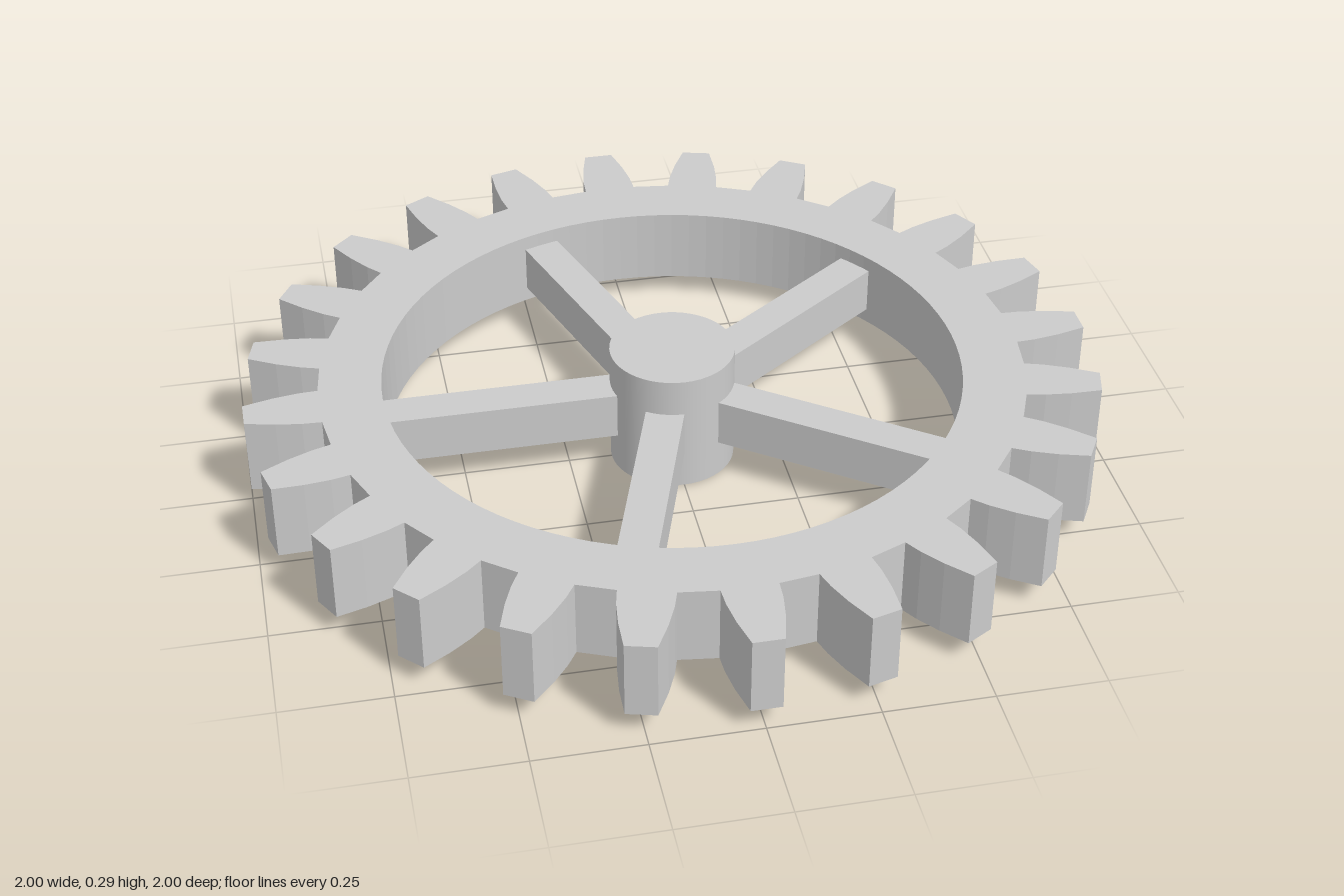
import * as THREE from 'three';

const TEETH = 24, SPOKES = 5, MID_Y = 0.147;

export function createModel() {
  const group = new THREE.Group();
  const material = new THREE.MeshStandardMaterial({ color: 0xcccccc });
  const add = (name, geometry, parent = group) => {
    const mesh = new THREE.Mesh(geometry, material);
    mesh.name = name;
    parent.add(mesh);
    return mesh;
  };

  // Toothed rim: one tooth profile (radius, half width) repeated around
  const flank = [[0.825, 0.063], [0.87, 0.061], [0.93, 0.052], [1, 0.035]];
  const tooth = [
    ...flank.map(([r, w]) => [r, -w]),
    ...flank.slice().reverse(),
  ];
  const outline = [];
  for (let i = 0; i < TEETH; i++) {
    const a = (i / TEETH) * Math.PI * 2;
    for (const [r, w] of tooth) {
      outline.push(new THREE.Vector2(
        r * Math.cos(a) - w * Math.sin(a),
        r * Math.sin(a) + w * Math.cos(a)));
    }
  }
  const rimShape = new THREE.Shape(outline);
  rimShape.holes.push(new THREE.Path().absarc(0, 0, 0.68, 0, Math.PI * 2, true));
  const rimGeometry = new THREE.ExtrudeGeometry(rimShape, {
    depth: 0.186, bevelEnabled: false, curveSegments: 48,
  });
  rimGeometry.rotateX(-Math.PI / 2);
  rimGeometry.translate(0, MID_Y - 0.093, 0);
  add('toothedRim', rimGeometry);

  // Hub
  add('hub', new THREE.CylinderGeometry(0.147, 0.147, 0.294, 48)).position.y = MID_Y;

  // Spokes, from inside the hub to just inside the rim
  const spokes = new THREE.Group();
  spokes.name = 'spokes';
  group.add(spokes);
  const spokeGeometry = new THREE.BoxGeometry(0.6, 0.114, 0.09);
  spokeGeometry.translate(0.4, MID_Y, 0);
  for (let i = 0; i < SPOKES; i++) {
    add('spoke', spokeGeometry, spokes).rotation.y = Math.PI + (i / SPOKES) * Math.PI * 2;
  }

  return group;
}
